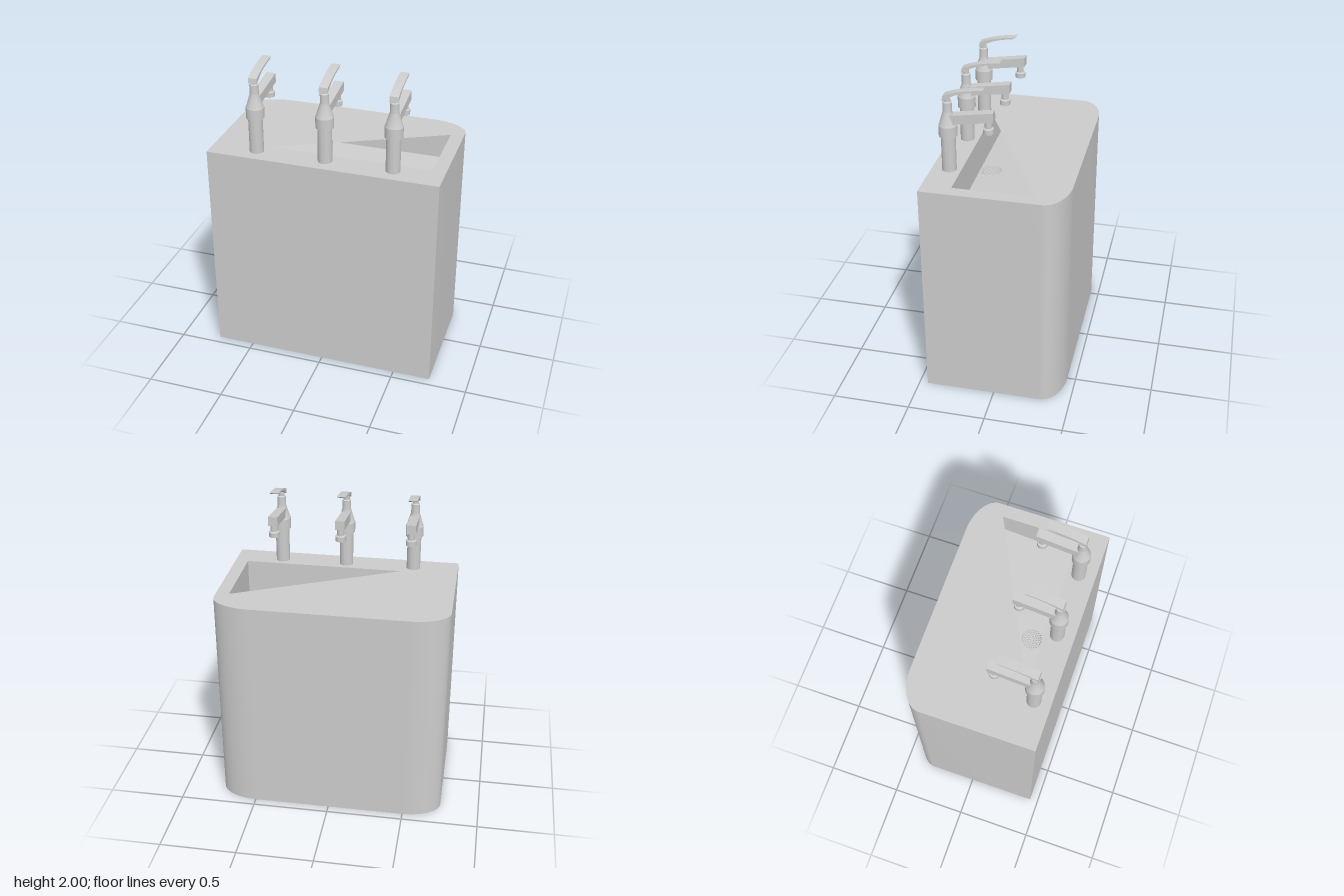
import * as THREE from 'three';
import { toCreasedNormals } from 'three/addons/utils/BufferGeometryUtils.js';

const grey = new THREE.MeshStandardMaterial({ color: 0xcccccc, side: THREE.DoubleSide });
const H = 1.45; // height of the counter
const DRAIN = { x: 0, z: 0.175, r: 0.07 };
const floorY = (z) => H - 0.17 - (z + 0.25) * 0.12; // basin floor falls towards the front

function add(parent, name, geometry, x = 0, y = 0, z = 0) {
  const mesh = new THREE.Mesh(geometry, grey);
  mesh.name = name;
  mesh.position.set(x, y, z);
  parent.add(mesh);
  return mesh;
}

// Horizontal sheet from [x, z] points, with holes; height may depend on z
function sheet(points, holes, heightAt) {
  const toVec = (list) => list.map(([x, z]) => new THREE.Vector2(x, -z));
  const shape = new THREE.Shape(toVec(points));
  holes.forEach((h) => shape.holes.push(new THREE.Path(toVec(h))));
  const geo = new THREE.ShapeGeometry(shape);
  geo.rotateX(-Math.PI / 2);
  const p = geo.attributes.position;
  for (let i = 0; i < p.count; i++) p.setY(i, heightAt(p.getZ(i)));
  geo.computeVertexNormals();
  return geo;
}

// Upright wall that follows [x, z] points between two heights
function wall(points, bottomAt, top) {
  const pos = [], index = [];
  points.forEach(([x, z], i) => {
    pos.push(x, bottomAt(z), z, x, top, z);
    if (i) {
      const a = 2 * (i - 1);
      index.push(a, a + 1, a + 2, a + 2, a + 1, a + 3);
    }
  });
  const geo = new THREE.BufferGeometry();
  geo.setAttribute('position', new THREE.Float32BufferAttribute(pos, 3));
  geo.setIndex(index);
  geo.computeVertexNormals();
  return toCreasedNormals(geo, 0.6);
}

function circle(cx, cz, r, n) {
  return Array.from({ length: n }, (_, i) => {
    const a = (i / n) * Math.PI * 2;
    return [cx + r * Math.cos(a), cz + r * Math.sin(a)];
  });
}

// Side profile in [z, y], given a width along x
function sideProfile(shape, width) {
  const geo = new THREE.ExtrudeGeometry(shape, { depth: width, bevelEnabled: false, curveSegments: 10 });
  geo.translate(0, 0, -width / 2);
  geo.rotateY(-Math.PI / 2);
  return toCreasedNormals(geo, 0.5);
}

function lathe(profile, segments = 32) {
  const geo = new THREE.LatheGeometry(profile.map(([r, y]) => new THREE.Vector2(r, y)), segments);
  return toCreasedNormals(geo, 0.3);
}

function makeTap() {
  const tap = new THREE.Group();
  tap.name = 'tap';
  add(tap, 'tapBody', lathe([
    [0.045, 0], [0.045, 0.23], [0.057, 0.23], [0.057, 0.3], [0.052, 0.31],
    [0.028, 0.39], [0.028, 0.45], [0.02, 0.455], [0.02, 0.48], [0, 0.48],
  ]));

  // Spout, rising slightly towards the basin
  const spout = new THREE.Shape([[0, 0.31], [0, 0.37], [-0.285, 0.412], [-0.285, 0.352]]
    .map(([z, y]) => new THREE.Vector2(z, y)));
  add(tap, 'spout', sideProfile(spout, 0.06));
  add(tap, 'nozzle', lathe([
    [0, 0.268], [0.033, 0.268], [0.033, 0.3], [0.022, 0.305], [0.022, 0.36],
  ]), 0, 0, -0.25);

  // Curved lever handle
  const lever = new THREE.Shape();
  lever.moveTo(0.025, 0.462);
  lever.lineTo(0.02, 0.495);
  lever.quadraticCurveTo(-0.06, 0.535, -0.225, 0.55);
  lever.lineTo(-0.2, 0.536);
  lever.quadraticCurveTo(-0.08, 0.525, -0.02, 0.487);
  lever.closePath();
  add(tap, 'lever', sideProfile(lever, 0.056));
  return tap;
}

export function createModel() {
  const model = new THREE.Group();
  model.name = 'washStand';

  // Outline of the cabinet: square front corners, elliptical back corners
  const side = [];
  for (let i = 0; i <= 20; i++) {
    const a = (i / 20) * Math.PI / 2;
    side.push([0.495 + 0.25 * Math.cos(a), -0.3 - 0.145 * Math.sin(a)]);
  }
  const mirrored = side.map(([x, z]) => [-x, z]).reverse();
  const outline = [[0.745, 0.445], ...side, ...mirrored, [-0.745, 0.445]];

  const drainHole = circle(DRAIN.x, DRAIN.z, DRAIN.r, 32);
  const opening = [[-0.375, 0.26], [0.66, 0.26], [0.66, -0.25]];
  const cabinet = new THREE.Group();
  cabinet.name = 'cabinet';
  model.add(cabinet);
  add(cabinet, 'sidesAndBack', wall(outline, () => 0, H));
  add(cabinet, 'frontPanel', wall([outline.at(-1), outline[0]], () => 0, H));
  add(cabinet, 'top', sheet(outline, [opening], () => H));
  add(cabinet, 'base', sheet(outline, [drainHole], () => 0));

  // Basin below the opening
  const basin = [[-0.66, 0.26], [0.66, 0.26], [0.66, -0.25], [-0.66, -0.25]];
  add(cabinet, 'basinWalls', wall([...basin, basin[0]], floorY, H));
  add(cabinet, 'basinFloor', sheet(basin, [drainHole], floorY));

  // Drain pipe and perforated strainer
  add(cabinet, 'drainPipe', wall([...drainHole, drainHole[0]], floorY, floorY(DRAIN.z)));
  const pipe = new THREE.CylinderGeometry(DRAIN.r, DRAIN.r, floorY(0.25), 32, 1, true);
  add(cabinet, 'drainPipe', pipe, DRAIN.x, floorY(0.25) / 2, DRAIN.z);
  const holes = [];
  for (let ring = 1; ring <= 4; ring++) {
    for (const [x, z] of circle(DRAIN.x, DRAIN.z, ring * 0.015, ring * 6)) holes.push(circle(x, z, 0.005, 6));
  }
  add(cabinet, 'strainer', sheet(circle(DRAIN.x, DRAIN.z, 0.075, 32), holes, (z) => floorY(z) + 0.004));

  // Row of three taps
  for (const x of [-0.45, 0, 0.432]) {
    const tap = makeTap();
    tap.position.set(x, H, 0.335);
    model.add(tap);
  }
  return model;
}
